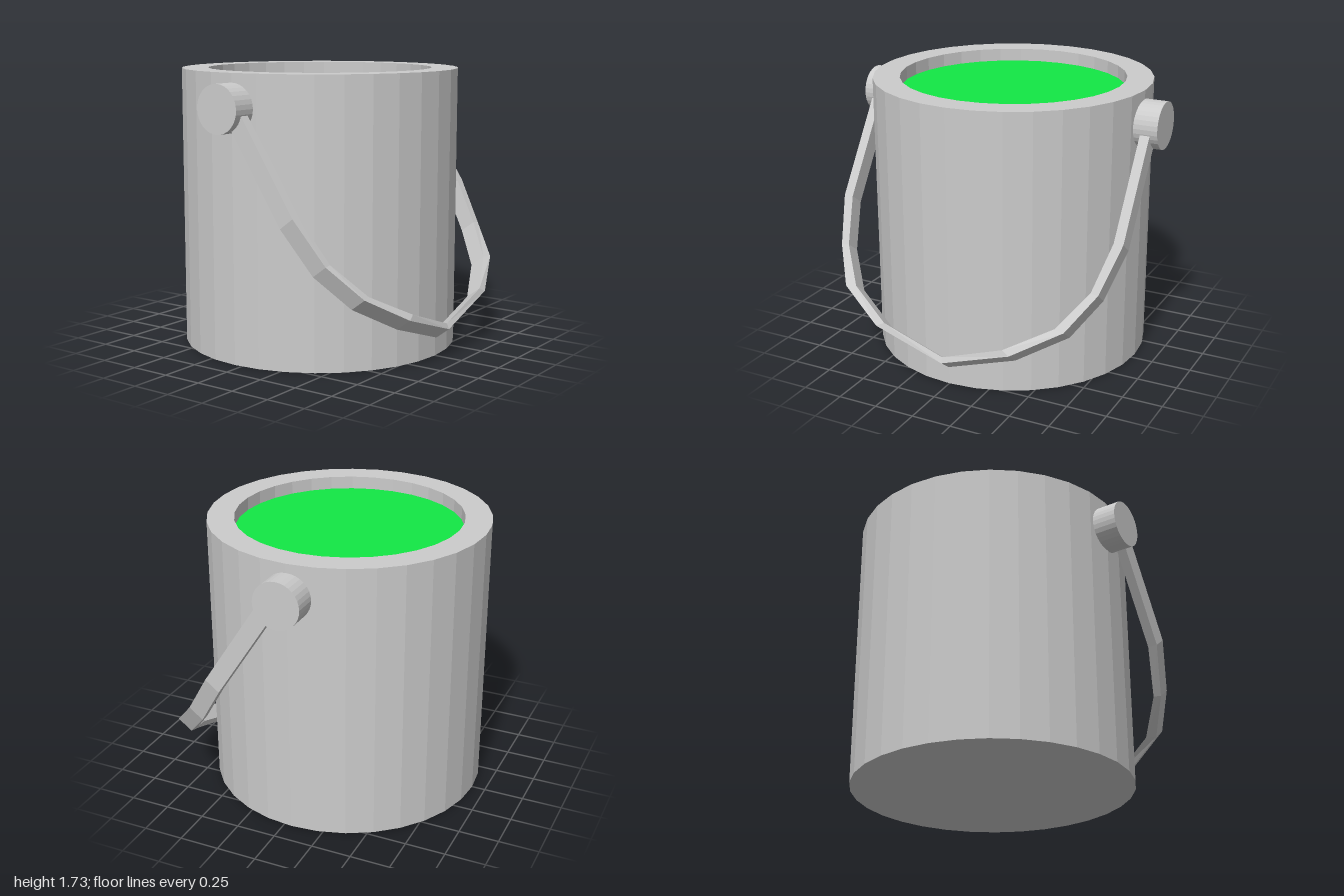
import * as THREE from 'three';

const SIDES = 32, CENTRE_X = -0.05;
const R = 0.865, INNER_R = 0.7, H = 1.73, PAINT_Y = 1.65;

const material = (color) => new THREE.MeshStandardMaterial({ color, flatShading: true });

function addPart(group, name, geometry, mat, x, y, z) {
  const mesh = new THREE.Mesh(geometry, mat);
  mesh.name = name;
  mesh.position.set(x, y, z);
  group.add(mesh);
  return mesh;
}

// Rectangular strap swept through stations from the front peg round to the back peg
function handleGeometry() {
  // Upper edge of the strap: outer point, then inner point
  const stations = [
    [[0.07, 1.526, 0.953], [0.07, 1.526, 0.893]],
    [[0.45, 0.945, 0.953], [0.45, 0.945, 0.893]],
    [[0.62, 0.68, 0.875], [0.615, 0.685, 0.826]],
    [[0.79, 0.49, 0.74], [0.775, 0.495, 0.675]],
    [[0.91, 0.33, 0.45], [0.898, 0.354, 0.4]],
    [[0.91, 0.18, 0], [0.895, 0.214, 0]],
  ];
  const flip = ([x, y, z]) => [x, y, -z];
  const mirrored = stations.slice(0, -1).reverse().map((s) => s.map(flip));
  const lower = ([x, y, z]) => [x - 0.087, y - 0.066, z];
  const rings = [...stations, ...mirrored].map(([o, i]) => [o, lower(o), lower(i), i]);

  const index = [];
  for (let s = 0; s < rings.length - 1; s++) {
    for (let k = 0; k < 4; k++) {
      const a = s * 4 + k, b = s * 4 + (k + 1) % 4;
      index.push(a, b, b + 4, a, b + 4, a + 4);
    }
  }
  // End caps
  const e = (rings.length - 1) * 4;
  index.push(0, 2, 1, 0, 3, 2, e, e + 1, e + 2, e, e + 2, e + 3);

  const indexed = new THREE.BufferGeometry();
  indexed.setAttribute('position', new THREE.Float32BufferAttribute(rings.flat(2), 3));
  indexed.setIndex(index);
  const geometry = indexed.toNonIndexed();
  geometry.computeVertexNormals();
  return geometry;
}

export function createModel() {
  const group = new THREE.Group();
  group.name = 'paintBucket';
  const grey = material(0xcccccc);

  // Bucket: base, wall, flat rim and inner lip
  const profile = [[0, 0], [R, 0], [R, H], [INNER_R, H], [INNER_R, PAINT_Y]]
    .map(([r, y]) => new THREE.Vector2(r, y));
  addPart(group, 'bucket', new THREE.LatheGeometry(profile, SIDES), grey, CENTRE_X, 0, 0);

  // Paint surface, just below the rim
  const disc = new THREE.CircleGeometry(INNER_R, SIDES).rotateX(-Math.PI / 2);
  addPart(group, 'paint', disc, material(0x12e845), CENTRE_X, PAINT_Y, 0);

  // Handle pegs, front and back
  for (const side of [1, -1]) {
    const peg = new THREE.CylinderGeometry(0.145, 0.145, 0.2, SIDES).rotateX(Math.PI / 2);
    addPart(group, side > 0 ? 'frontPeg' : 'backPeg', peg, grey, CENTRE_X, 1.53, side * 0.9);
  }

  addPart(group, 'handle', handleGeometry(), grey, 0, 0, 0);
  return group;
}
